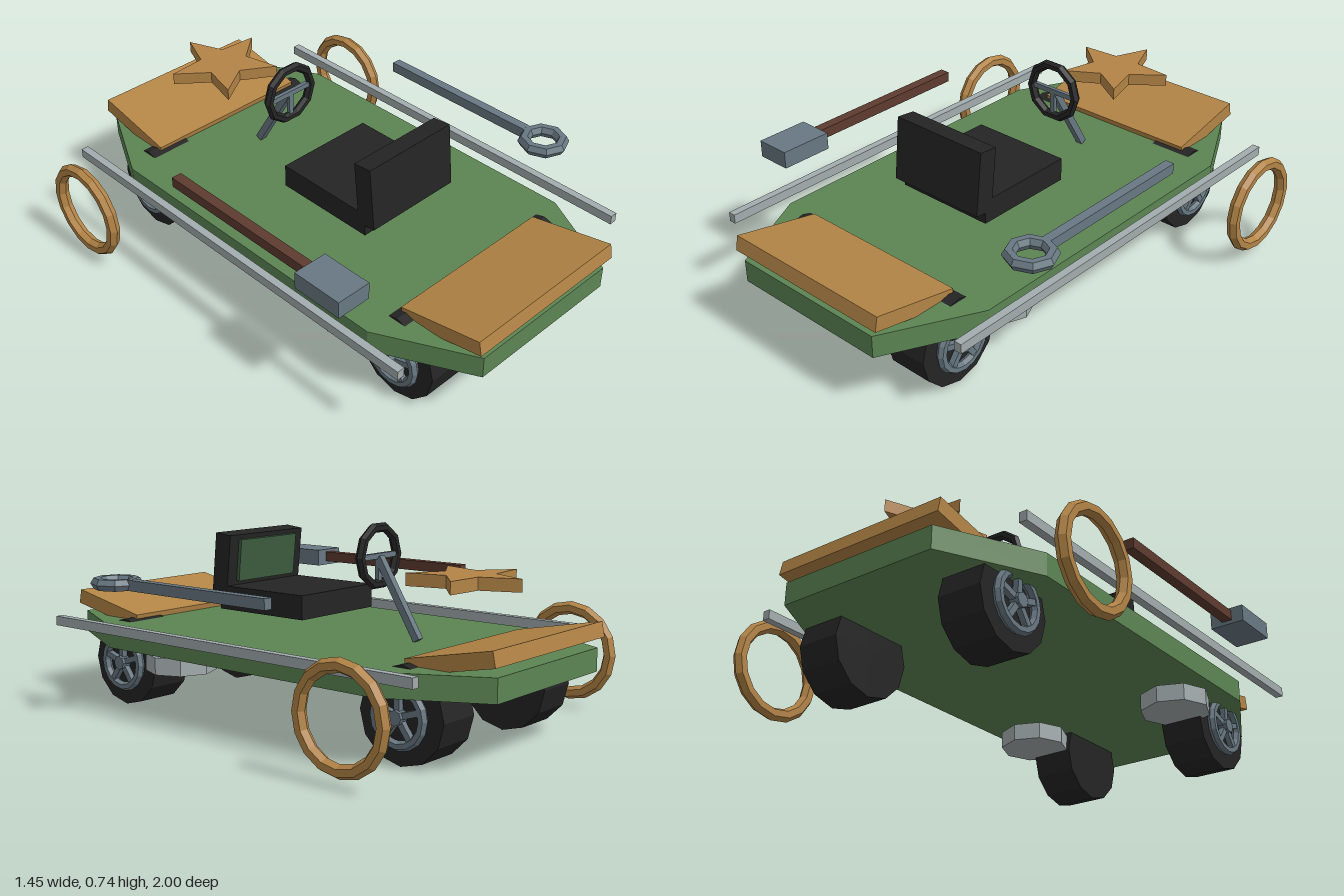
import * as THREE from 'three';

const mat = (name, color, opts = {}) => {
  const m = new THREE.MeshStandardMaterial({ color, flatShading: true, ...opts });
  m.name = name;
  return m;
};

export function createModel() {
  const root = new THREE.Group();
  const green = mat('body green', 0x5c8553);
  const padGreen = mat('pad green', 0x3f5f40);
  const wood = mat('wood', 0xb38446);
  const black = mat('black', 0x242424);
  const steel = mat('steel', 0x687882);
  const silver = mat('silver', 0xa3acae);
  const brown = mat('brown', 0x5e3b30);

  const add = (name, geo, material, x = 0, y = 0, z = 0, parent = root) => {
    const m = new THREE.Mesh(geo, material);
    m.name = name;
    m.position.set(x, y, z);
    parent.add(m);
    return m;
  };
  const box = (w, h, d) => new THREE.BoxGeometry(w, h, d);
  // Extrudes an outline drawn in x/z upwards by h
  const slab = (pts, h) => {
    const shape = new THREE.Shape(pts.map(([x, z]) => new THREE.Vector2(x, -z)));
    return new THREE.ExtrudeGeometry(shape, { depth: h, bevelEnabled: false }).rotateX(-Math.PI / 2);
  };

  // Floor with cut corners
  add('body', slab([[0.5, 0.64], [0.5, -0.64], [0.32, -0.99], [-0.32, -0.99],
    [-0.5, -0.64], [-0.5, 0.64], [-0.32, 0.99], [0.32, 0.99]], 0.085), green, 0, 0.245, 0);

  // Sloping wooden end boards
  for (const s of [1, -1]) {
    const board = add('endBoard', box(0.7, 0.056, 0.345), wood, 0, 0.358, s * 0.825);
    board.rotation.x = -s * 0.2;
  }

  // Wheels with five-spoke rims
  for (const sx of [1, -1]) {
    for (const sz of [1, -1]) {
      const wheel = new THREE.Group();
      wheel.name = 'wheel';
      wheel.position.set(sx * 0.308, 0.17, sz * 0.672);
      if (sx < 0) wheel.rotation.y = Math.PI;
      root.add(wheel);
      add('tyre', new THREE.CylinderGeometry(0.17, 0.17, 0.17, 12).rotateZ(Math.PI / 2), black, 0, 0, 0, wheel);
      add('rim', new THREE.TorusGeometry(0.097, 0.018, 6, 16).rotateY(Math.PI / 2), steel, 0.098, 0, 0, wheel);
      add('hub', new THREE.CylinderGeometry(0.027, 0.027, 0.045, 8).rotateZ(Math.PI / 2), steel, 0.1, 0, 0, wheel);
      for (let i = 0; i < 5; i++) {
        const spoke = add('spoke', box(0.022, 0.095, 0.022).translate(0, 0.05, 0), steel, 0.1, 0, 0, wheel);
        spoke.rotation.x = (i * Math.PI * 2) / 5;
      }
    }
  }

  // Side rails, wooden hoops and drums under the floor
  for (const s of [1, -1]) {
    add('sideRail', box(0.03, 0.036, 1.71), silver, s * 0.567, 0.337, 0);
    add('hoop', new THREE.TorusGeometry(0.168, 0.025, 6, 16).rotateY(Math.PI / 2), wood, s * 0.703, 0.222, -0.672);
    add('drum', new THREE.CylinderGeometry(0.135, 0.135, 0.066, 8), silver, s * 0.335, 0.197, 0.418);
  }

  // Seat, leaning backrest and pad
  add('seatBase', box(0.406, 0.09, 0.415), black, 0, 0.438, 0.127);
  const back = new THREE.Group();
  back.name = 'seatBack';
  back.position.set(0, 0.558, 0.328);
  back.rotation.x = -0.1;
  root.add(back);
  add('backrest', box(0.406, 0.245, 0.076), black, 0, 0, 0, back);
  add('backPad', box(0.31, 0.16, 0.016), padGreen, 0, 0.025, -0.044, back);

  // Steering wheel and column
  const steering = new THREE.Group();
  steering.name = 'steeringWheel';
  steering.position.set(0, 0.625, -0.271);
  root.add(steering);
  add('steeringRing', new THREE.TorusGeometry(0.107, 0.018, 6, 10), black, 0, 0, 0, steering);
  add('crossSpoke', box(0.2, 0.02, 0.016), steel, 0, 0, 0, steering);
  add('lowerSpoke', box(0.02, 0.1, 0.016), steel, 0, -0.05, 0, steering);
  const a = new THREE.Vector3(0, 0.62, -0.275), b = new THREE.Vector3(0, 0.335, -0.452);
  const column = add('steeringColumn', box(0.028, 0.028, a.distanceTo(b)), steel);
  column.position.copy(a).add(b).multiplyScalar(0.5);
  column.lookAt(a);

  // Star plate
  const star = [];
  for (let i = 0; i < 10; i++) {
    const r = i % 2 ? 0.095 : 0.215, t = (i * Math.PI) / 5;
    star.push([-r * Math.sin(t), -r * Math.cos(t)]);
  }
  add('star', slab(star, 0.046), wood, 0, 0.549, -0.66);

  // Hammer on the right
  add('hammerHead', box(0.137, 0.066, 0.204), steel, -0.568, 0.513, 0.543);
  add('hammerHandle', box(0.04, 0.04, 0.7), brown, -0.568, 0.515, 0.095);

  // Ring spanner on the left
  add('spannerRing', new THREE.TorusGeometry(0.073, 0.024, 6, 8).rotateX(Math.PI / 2), steel, 0.566, 0.515, 0.51);
  add('spannerHandle', box(0.036, 0.04, 0.69), steel, 0.566, 0.515, 0.096);

  return root;
}
